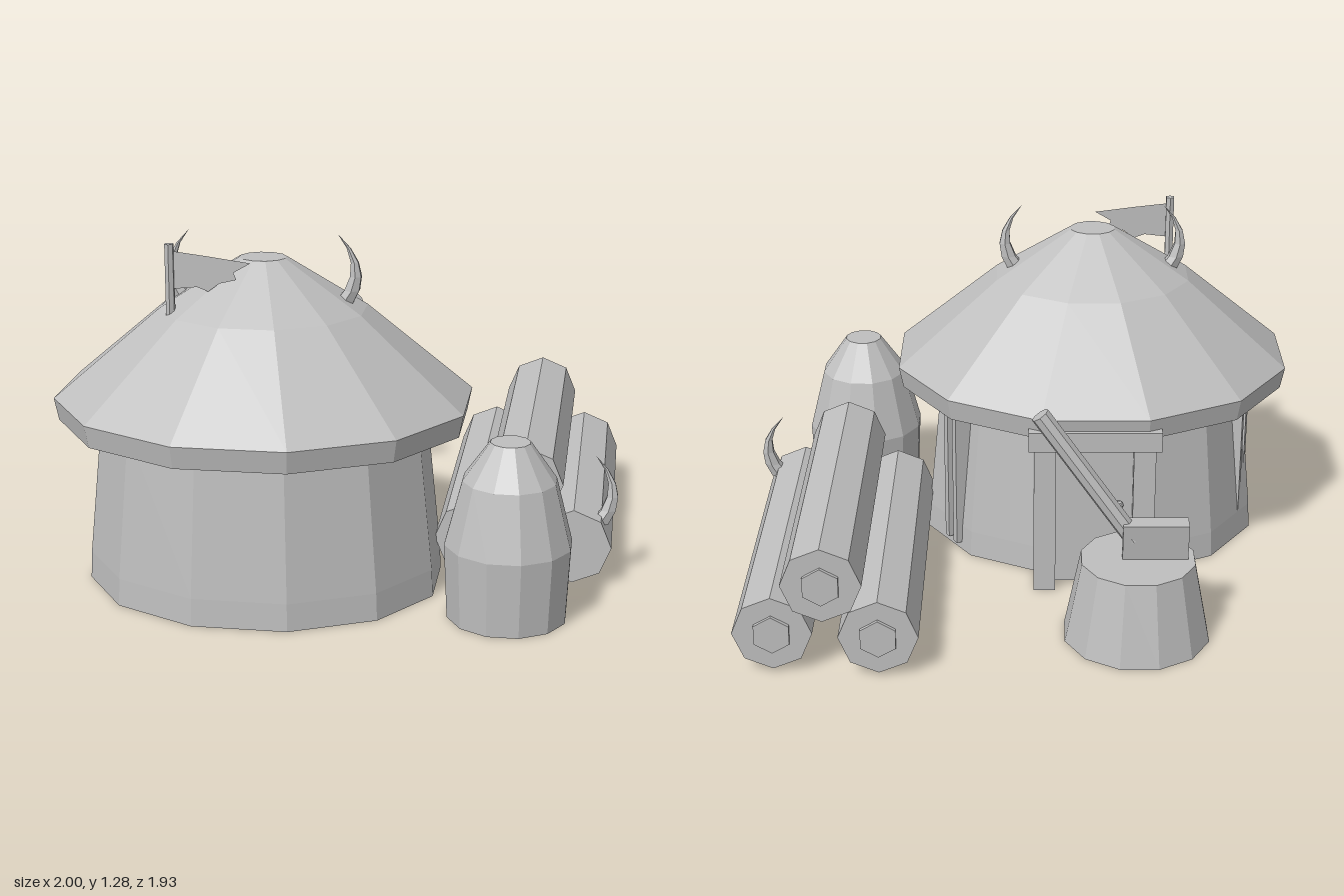
import * as THREE from 'three';

export function createModel() {
  const root = new THREE.Group();
  const grey = new THREE.MeshStandardMaterial({ color: 0xbfbfbf, flatShading: true, side: THREE.DoubleSide });
  grey.name = 'plain grey';

  const add = (name, geo, x = 0, y = 0, z = 0, parent = root) => {
    const m = new THREE.Mesh(geo, grey);
    m.name = name;
    m.position.set(x, y, z);
    parent.add(m);
    return m;
  };
  const box = (name, x0, x1, y0, y1, z0, z1, parent = root) =>
    add(name, new THREE.BoxGeometry(x1 - x0, y1 - y0, z1 - z0), (x0 + x1) / 2, (y0 + y1) / 2, (z0 + z1) / 2, parent);
  // Twelve-sided turned shape with flats facing the axes
  const turned = (name, profile, x, z, zScale = 1, sides = 12) => {
    const pts = profile.map(([r, y]) => new THREE.Vector2(r, y));
    const m = add(name, new THREE.LatheGeometry(pts, sides, Math.PI / sides), x, 0, z);
    m.scale.z = zScale;
    return m;
  };
  // Straight rod between two points
  const rod = (name, a, b, r0, r1, sides = 8) => {
    const p = new THREE.Vector3(...a), q = new THREE.Vector3(...b), d = q.clone().sub(p);
    const m = add(name, new THREE.CylinderGeometry(r1, r0, d.length(), sides));
    m.position.copy(p).add(q).multiplyScalar(0.5);
    m.quaternion.setFromUnitVectors(new THREE.Vector3(0, 1, 0), d.normalize());
    return m;
  };
  // Curved horn: a cone bent sideways along its height
  const horn = (name, x, y, z, dir) => {
    const h = 0.25, g = new THREE.ConeGeometry(0.038, h, 6, 5);
    g.translate(0, h / 2, 0);
    const p = g.attributes.position;
    for (let i = 0; i < p.count; i++) {
      const t = p.getY(i) / h;
      p.setX(i, p.getX(i) + dir * (0.2 * t - 0.22 * t * t));
    }
    return add(name, g, x, y, z);
  };

  // Hut
  turned('hutWall', [[0.65, 0], [0.645, 0.1], [0.59, 0.63]], -0.27, 0.31, 0.84);
  turned('roof', [[0.59, 0.61], [0.74, 0.61], [0.756, 0.69], [0.373, 1.01], [0.085, 1.19], [0, 1.19]],
    -0.27, 0.31, 0.89);
  horn('roofHornLeft', 0.015, 1.03, 0.31, 1);
  horn('roofHornRight', -0.555, 1.03, 0.31, -1);
  rod('innerPole', [-0.43, 0, 0.22], [-0.43, 1, 0.22], 0.014, 0.014, 6);

  // Tattered flag
  rod('flagPole', [-0.57, 0.99, 0.465], [-0.57, 1.26, 0.465], 0.017, 0.017, 6);
  const cloth = new THREE.Shape([
    [0, 0.235], [0.13, 0.22], [0.28, 0.2], [0.22, 0.165], [0.23, 0.14], [0.17, 0.125],
    [0.13, 0.095], [0.09, 0.11], [0, 0.1],
  ].map(([x, y]) => new THREE.Vector2(x, y)));
  add('flag', new THREE.ShapeGeometry(cloth), -0.565, 1, 0.465);

  // Doorway at the back
  const door = new THREE.Group();
  door.name = 'doorway';
  root.add(door);
  box('lintel', -0.51, -0.03, 0.57, 0.645, -0.35, -0.05, door);
  box('doorPostLeft', -0.13, -0.05, 0, 0.57, -0.34, -0.05, door);
  box('doorPostRight', -0.49, -0.41, 0, 0.57, -0.34, -0.05, door);
  box('doorPanel', -0.41, -0.13, 0.02, 0.57, -0.3, -0.27, door);
  add('doorKnob', new THREE.SphereGeometry(0.018, 6, 4), -0.36, 0.34, -0.315, door);

  // Timber posts against the side walls
  for (const [name, x, z, turn] of [['sidePostLeft', 0.24, 0.02, Math.PI / 6], ['sidePostRight', -0.83, 0.15, Math.PI * 0.9]]) {
    const post = new THREE.Group();
    post.name = name;
    post.position.set(x, 0, z);
    post.rotation.y = turn;
    root.add(post);
    for (const s of [-1, 1]) box('rail', -0.035, 0.03, 0.03, 0.62, s * 0.032 - 0.014, s * 0.032 + 0.014, post);
    box('core', -0.035, 0.01, 0.05, 0.62, -0.03, 0.03, post);
  }

  // Barrel
  turned('barrel', [[0.212, 0], [0.225, 0.27], [0.165, 0.5], [0.07, 0.635], [0, 0.635]], 0.63, 0.575);

  // Log pile along z, with a raised core at the rear ends
  for (const [x, y, z0, z1] of [[0.48, 0.15, -0.93, 0.25], [0.665, 0.365, -0.955, 0.235], [0.845, 0.15, -0.905, 0.28]]) {
    rod('log', [x, y, z0], [x, y, z1], 0.138, 0.138);
    rod('logCore', [x, y, z0 - 0.014], [x, y, z0 + 0.02], 0.07, 0.07, 6);
  }
  horn('logHorn', 0.935, 0.215, 0.195, 1).rotation.x = -0.08;

  // Chopping block with axe
  turned('choppingBlock', [[0.264, 0], [0.205, 0.3], [0, 0.3]], -0.415, -0.635);
  rod('axeHandle', [-0.4, 0.37, -0.63], [-0.07, 0.83, -0.595], 0.034, 0.034, 8);
  const head = new THREE.BoxGeometry(0.23, 0.17, 0.07);
  const hp = head.attributes.position;
  for (let i = 0; i < hp.count; i++) if (hp.getY(i) < 0) hp.setZ(i, hp.getZ(i) * 0.3);
  add('axeHead', head, -0.475, 0.355, -0.635);

  return root;
}
